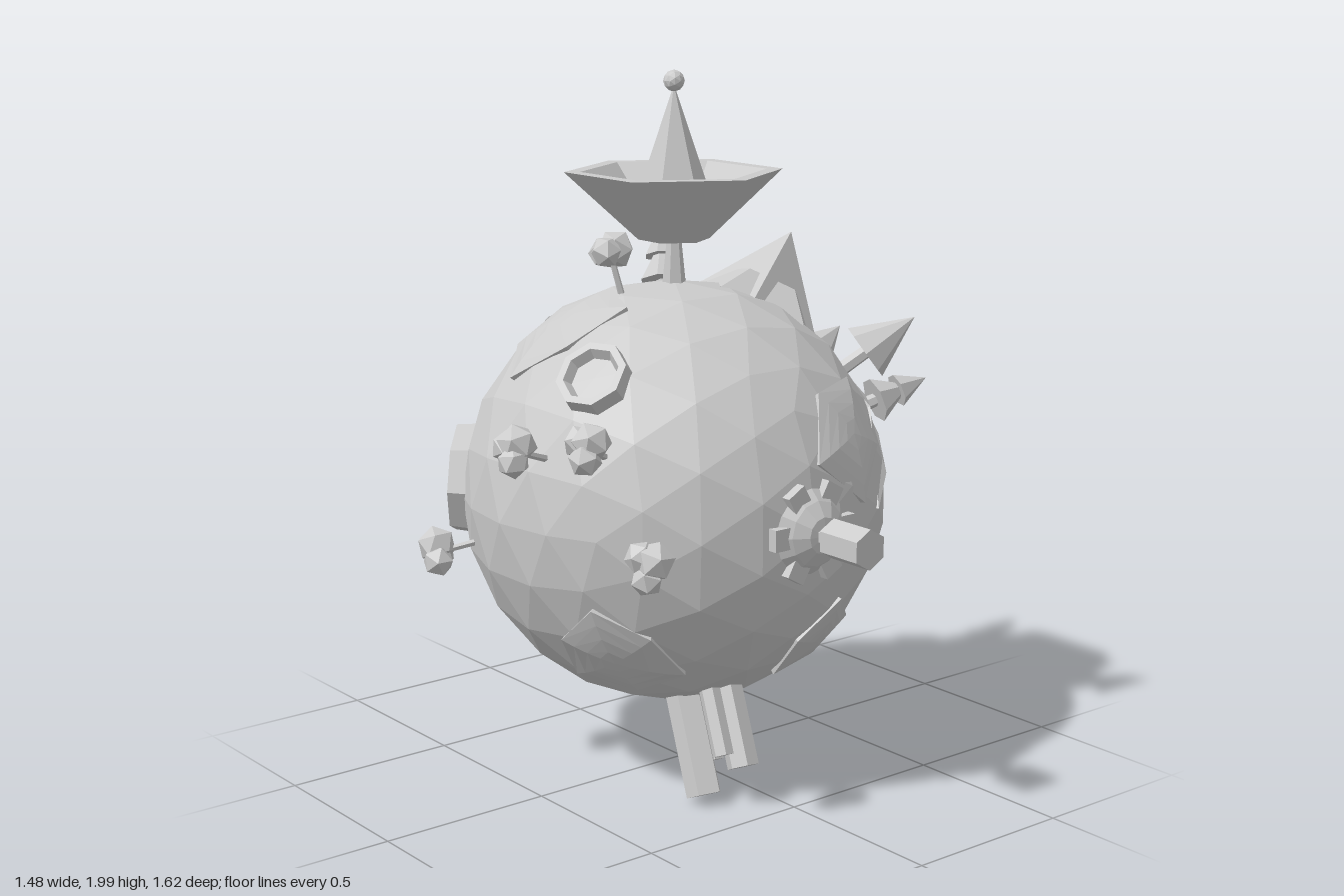
import * as THREE from 'three';

const R = 0.6;
const UP = new THREE.Vector3(0, 1, 0);
const mat = new THREE.MeshStandardMaterial({ color: 0xcccccc, flatShading: true, side: THREE.DoubleSide });
const V = (p) => new THREE.Vector3(...p);

function mesh(geo, name, parent, y = 0) {
  const m = new THREE.Mesh(geo, mat);
  m.name = name;
  m.position.y = y;
  parent.add(m);
  return m;
}

// Group whose +y axis points away from the planet centre
function outward(parent, name, dir, dist) {
  const g = new THREE.Group();
  const n = V(dir).normalize();
  g.name = name;
  g.quaternion.setFromUnitVectors(UP, n);
  g.position.copy(n).multiplyScalar(dist);
  parent.add(g);
  return g;
}

const lathe = (pts, sides) => new THREE.LatheGeometry(pts.map((p) => new THREE.Vector2(...p)), sides);

// Raised crust plate following the sphere, with a skirt round its edge
function plateGeometry(points, height) {
  const dirs = points.map((p) => V(p).normalize());
  const mid = dirs.reduce((s, d) => s.add(d), new THREE.Vector3()).normalize();
  const pos = [];
  const rings = 4;
  const at = (d, k) => mid.clone().lerp(d, k / rings).normalize().multiplyScalar(R + height);
  const tri = (...vs) => vs.forEach((v) => pos.push(v.x, v.y, v.z));
  dirs.forEach((a, i) => {
    const b = dirs[(i + 1) % dirs.length];
    for (let k = 0; k < rings; k++) {
      const [a0, a1, b0, b1] = [at(a, k), at(a, k + 1), at(b, k), at(b, k + 1)];
      tri(a0, a1, b1);
      if (k) tri(a0, b1, b0);
    }
    const [a1, b1] = [at(a, rings), at(b, rings)];
    const [a2, b2] = [a, b].map((d) => d.clone().multiplyScalar(R - 0.04));
    tri(a1, a2, b2);
    tri(a1, b2, b1);
  });
  const g = new THREE.BufferGeometry();
  g.setAttribute('position', new THREE.Float32BufferAttribute(pos, 3));
  g.computeVertexNormals();
  return g;
}

// Irregular polygon of points around a direction
function patch(dir, radius, sides, spin) {
  const q = new THREE.Quaternion().setFromUnitVectors(UP, V(dir).normalize());
  return Array.from({ length: sides }, (_, i) => {
    const a = spin + (i / sides) * Math.PI * 2;
    const r = (radius / R) * (i % 2 ? 0.8 : 1);
    return new THREE.Vector3(Math.sin(a) * r, 1, Math.cos(a) * r).applyQuaternion(q).toArray();
  });
}

function addAntenna(planet) {
  const g = new THREE.Group();
  g.name = 'antenna';
  planet.add(g);
  mesh(new THREE.CylinderGeometry(0.02, 0.036, 0.16, 6), 'antennaStem', g, 0.64);
  mesh(lathe([[0, 0.71], [0.1, 0.715], [0.305, 0.905], [0.26, 0.905], [0.12, 0.77], [0, 0.77]], 6), 'antennaDish', g);
  mesh(new THREE.ConeGeometry(0.125, 0.37, 6), 'antennaSpike', g, 0.955);
  mesh(new THREE.IcosahedronGeometry(0.03, 1), 'antennaTip', g, 1.15);
}

function addPole(planet, side) {
  const g = outward(planet, side > 0 ? 'frontAxle' : 'backAxle', [0, 0, side], 0);
  mesh(lathe([[0.13, 0.54], [0.125, 0.575], [0.09, 0.61], [0.05, 0.635], [0, 0.64]], 12), 'axleDome', g);
  mesh(new THREE.CylinderGeometry(0.027, 0.027, 0.1, 6), 'axleNeck', g, 0.645);
  mesh(new THREE.CylinderGeometry(0.055, 0.055, 0.14, 6), 'axleCap', g, 0.74);
  for (let i = 0; i < 6; i++) {
    const a = ((i + 0.5) / 6) * Math.PI * 2;
    const foot = mesh(new THREE.BoxGeometry(0.06, 0.035, 0.05), 'axleFoot', g);
    foot.position.set(Math.sin(a) * 0.115, 0.585, Math.cos(a) * 0.115);
    foot.rotation.y = a;
  }
}

function addCrater(planet, dir, r, h) {
  const g = outward(planet, 'crater', dir, 0.59);
  mesh(lathe([[r, -0.06], [r * 0.95, h], [r * 0.75, h], [r * 0.62, 0.012], [0, 0.014]], 8), 'craterRim', g);
}

// Conifer given by its tip; one or two tiers
function addConifer(planet, tip, tiers) {
  const g = outward(planet, 'conifer', tip, V(tip).length());
  mesh(new THREE.CylinderGeometry(0.018, 0.022, 0.2, 6), 'coniferTrunk', g, -0.18);
  if (tiers === 1) mesh(new THREE.ConeGeometry(0.083, 0.17, 8), 'coniferCrown', g, -0.085);
  else {
    mesh(new THREE.ConeGeometry(0.05, 0.1, 7), 'coniferTop', g, -0.05);
    mesh(new THREE.ConeGeometry(0.068, 0.12, 7), 'coniferSkirt', g, -0.115);
  }
}

// Round tree: thin stem and a faceted clustered crown
function addRoundTree(planet, p, spin) {
  const g = outward(planet, 'roundTree', p, V(p).length());
  mesh(new THREE.CylinderGeometry(0.008, 0.011, 0.2, 5), 'treeStem', g, -0.1);
  [[0.02, 0, 0, 0.055], [-0.025, 0.01, 0.02, 0.045], [0, -0.005, -0.03, 0.045]].forEach(([x, y, z, r], i) => {
    const m = mesh(new THREE.IcosahedronGeometry(r, 0), 'treeCrown', g);
    m.position.set(x, y, z);
    m.rotation.set(spin, i, spin * 2);
  });
}

export function createModel() {
  const root = new THREE.Group();
  root.name = 'planetModel';
  const planet = new THREE.Group();
  planet.name = 'planet';
  planet.position.set(-0.025, 0.82, 0);
  root.add(planet);
  mesh(new THREE.IcosahedronGeometry(R, 3), 'planetBody', planet);

  addAntenna(planet);
  [1, -1].forEach((s) => addPole(planet, s));

  // Crust plates
  mesh(plateGeometry([[0.3, 0, 0.52], [0.58, 0, 0.2], [0.6, 0, -0.2], [0.2, 0, -0.57], [0.25, 0.4, -0.35],
    [0.3, 0.5, 0.1], [0.4, 0.25, 0.38]], 0.005), 'crustPlate', planet);
  [
    [[-0.3, 0.5, -0.12], 0.23, 6, 0.4], [[0.2, 0.22, 0.5], 0.2, 5, 0.3], [[0.14, -0.36, 0.46], 0.16, 5, 1],
    [[-0.4, -0.36, 0.25], 0.2, 6, 0.2], [[-0.12, 0.38, -0.43], 0.18, 5, 0.8], [[0.3, -0.4, -0.3], 0.18, 5, 0.1],
  ].forEach(([d, r, n, s]) => mesh(plateGeometry(patch(d, r, n, s), 0.006), 'crustPlate', planet));

  // Rock slabs
  [[[0.355, 0.4, -0.38], 0.14, 0.5], [[0.05, -0.55, -0.23], 0.16, 0.1]].forEach(([d, w, spin]) => {
    const g = outward(planet, 'rockSlab', d, 0.6);
    mesh(new THREE.BoxGeometry(w, 0.06, w * 0.8), 'slab', g).rotation.y = spin;
  });

  // Mountain: broad foot with a four-sided peak
  const mountain = outward(planet, 'mountain', [0.435, 0.7, 0], 0.55);
  const peak = mesh(new THREE.ConeGeometry(0.2, 0.27, 4), 'mountainPeak', mountain, 0.135);
  peak.rotation.y = Math.PI / 4;
  mesh(new THREE.CylinderGeometry(0.12, 0.22, 0.1, 5), 'mountainFoot', mountain, 0.05);

  [[[0.56, 0.23, -0.06], 0.155, 0.045], [[-0.44, 0.02, -0.41], 0.165, 0.035],
    [[-0.06, -0.24, -0.55], 0.1, 0.05], [[-0.41, 0.4, 0.18], 0.105, 0.04]].forEach((c) => addCrater(planet, ...c));

  [[[0.745, 0.27, -0.29], 2], [[0.64, 0.5, -0.3], 2], [[0.695, 0.38, -0.07], 1], [[0.765, 0.26, 0.23], 2],
    [[0.545, 0.49, 0.4], 1], [[0.185, 0.71, -0.3], 2]].forEach((t) => addConifer(planet, ...t));

  [[-0.495, -0.02, 0.52], [-0.57, 0.27, 0.36], [-0.66, 0.24, 0.165], [-0.635, -0.13, -0.25], [-0.185, 0.69, -0.05]]
    .forEach((p, i) => addRoundTree(planet, p, i * 0.7));

  // Crystal cluster under the planet, all pointing the same way
  const crystals = new THREE.Group();
  crystals.name = 'crystalCluster';
  planet.add(crystals);
  const axis = V([-0.08, -0.88, 0.42]).normalize();
  [[-0.145, -0.79, 0.32, 0.052], [-0.075, -0.7, 0.4, 0.045], [-0.005, -0.735, 0.23, 0.042],
    [-0.08, -0.72, 0.27, 0.035], [-0.02, -0.67, 0.3, 0.035], [-0.13, -0.66, 0.38, 0.03]].forEach(([x, y, z, r], i) => {
    const m = mesh(new THREE.CylinderGeometry(r, r, 0.36, i % 2 ? 6 : 5), 'crystal', crystals);
    m.quaternion.setFromUnitVectors(UP, axis);
    m.position.set(x, y, z).addScaledVector(axis, -0.18);
  });
  return root;
}
